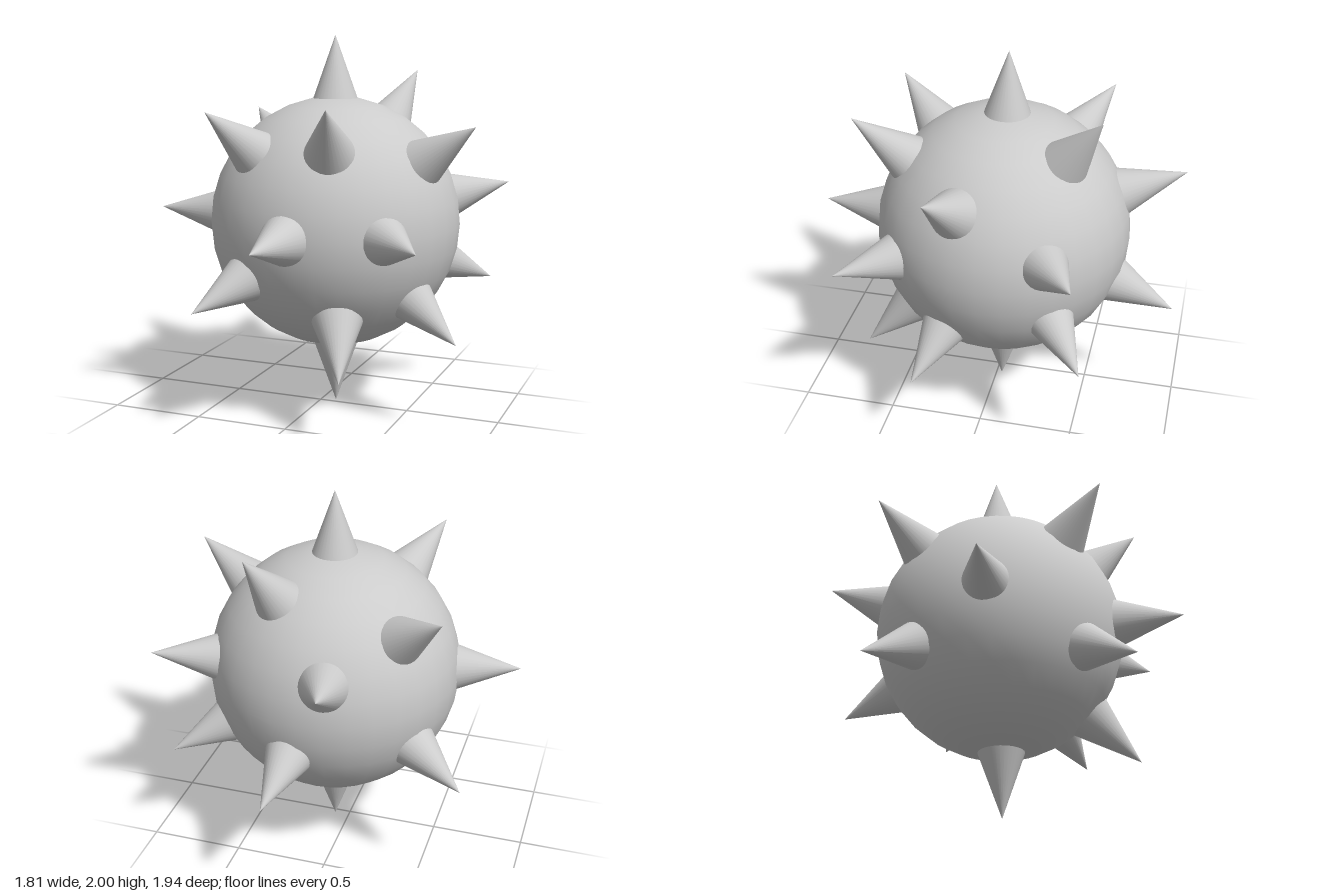
import * as THREE from 'three';

const CENTER = new THREE.Vector3(0.07, 1.01, -0.04);
const RADIUS = 0.67;
const SPIKE_BASE = 0.6;    // distance from the centre at which a spike starts, inside the ball
const SPIKE_SLOPE = 0.355; // spike radius per unit of height

// Spike tips in model space
const TIPS = {
  topSpike: [0.06, 2.0, -0.06],
  bottomSpike: [0.08, 0.0, -0.03],
  frontSpike: [0.03, 1.01, 0.97],
  frontUpperLeftSpike: [0.3, 1.665, 0.695],
  frontUpperRightSpike: [-0.37, 1.63, 0.62],
  frontSideLeftSpike: [0.745, 1.01, 0.687],
  frontLowerRightSpike: [-0.384, 0.64, 0.772],
  frontLowerLeftSpike: [0.356, 0.33, 0.662],
  leftUpperSpike: [0.886, 1.56, 0.168],
  leftLowerSpike: [0.837, 0.474, 0.277],
  rightSpike: [-0.907, 1.05, 0.11],
  backSideLeftSpike: [0.905, 1.2, -0.535],
  backLowerLeftSpike: [0.808, 0.648, -0.576],
  backUpperLeftSpike: [0.358, 1.8, -0.578],
  backUpperRightSpike: [-0.603, 1.57, -0.52],
  backLowerRightSpike: [-0.729, 0.648, -0.52],
  backUpperSpike: [-0.127, 1.33, -0.97],
  backLowerSpike: [0.168, 0.664, -0.97],
};

export function createModel() {
  const group = new THREE.Group();
  group.name = 'spikedBall';
  const material = new THREE.MeshStandardMaterial({ color: 0xcccccc });

  // Ball
  const ball = new THREE.Mesh(new THREE.SphereGeometry(RADIUS, 32, 16), material);
  ball.name = 'ball';
  ball.position.copy(CENTER);
  group.add(ball);

  // Spikes: cones pointing straight out from the centre of the ball
  const up = new THREE.Vector3(0, 1, 0);
  for (const [name, tip] of Object.entries(TIPS)) {
    const direction = new THREE.Vector3(...tip).sub(CENTER);
    const height = direction.length() - SPIKE_BASE;
    direction.normalize();
    const geometry = new THREE.ConeGeometry(height * SPIKE_SLOPE, height, 32);
    const spike = new THREE.Mesh(geometry, material);
    spike.name = name;
    spike.quaternion.setFromUnitVectors(up, direction);
    spike.position.copy(CENTER).addScaledVector(direction, SPIKE_BASE + height / 2);
    group.add(spike);
  }
  return group;
}
